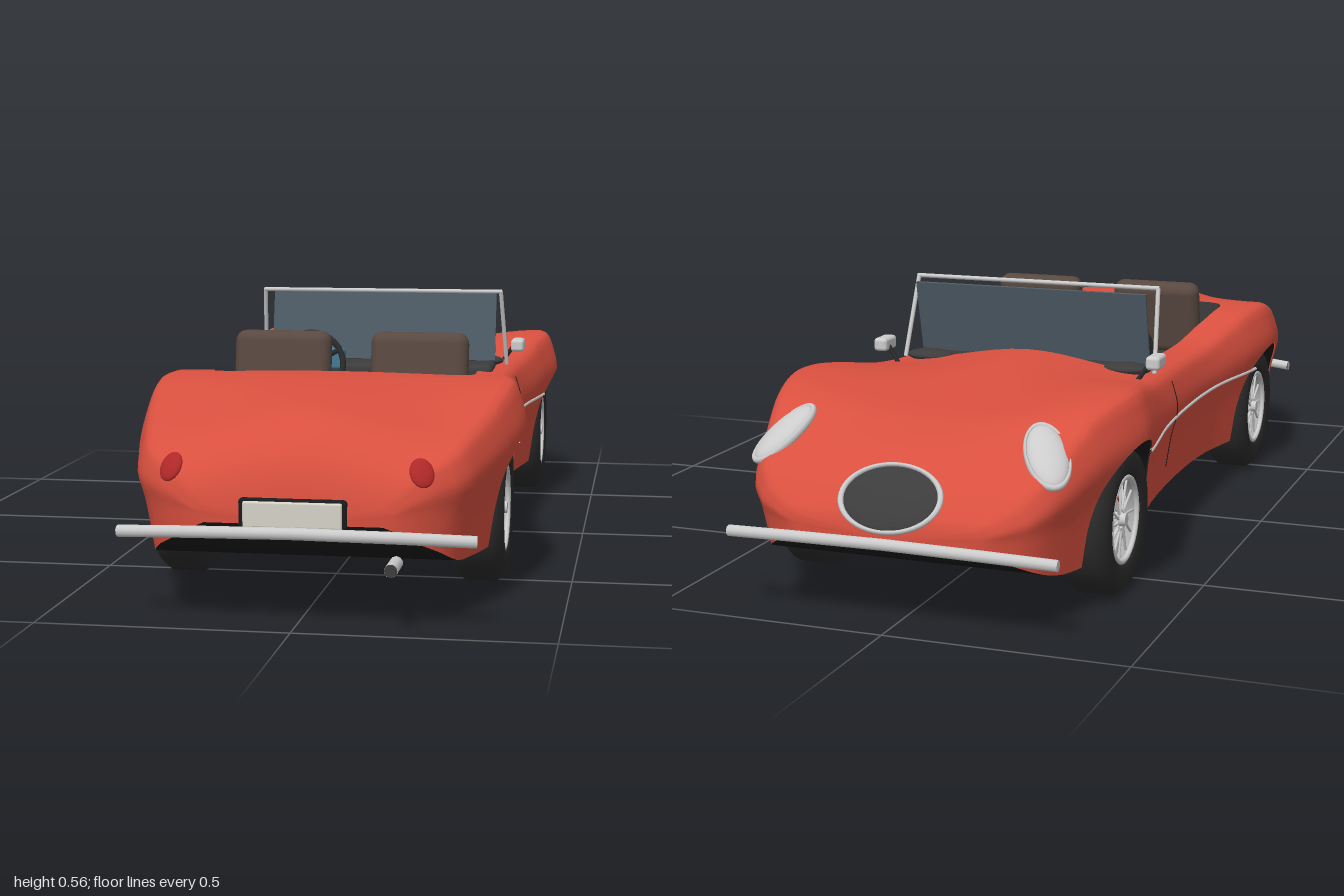
import * as THREE from 'three';
import { RoundedBoxGeometry } from 'three/addons/geometries/RoundedBoxGeometry.js';

const V = (x, y, z) => new THREE.Vector3(x, y, z);
const mat = (color, extra = {}) => new THREE.MeshStandardMaterial({ color, ...extra });
const DS = { side: THREE.DoubleSide };
const red = mat(0xd9503f, DS), black = mat(0x1a1a1a, DS), dark = mat(0x3c3c3c, { ...DS, flatShading: true });
const chrome = mat(0xcccccc), rubber = mat(0x2a2a2a), leather = mat(0x584840), glass = mat(0x4f5c66, DS);
const white = mat(0xf2f2f4), lampRed = mat(0xb02828), cream = mat(0xd6d2c8), blue = mat(0x437a94);

// Smooth interpolation through [position, value] pairs
function curve(p) {
  const slope = (i) => {
    const a = p[Math.max(0, i - 1)], b = p[Math.min(p.length - 1, i + 1)];
    return (b[1] - a[1]) / (b[0] - a[0]);
  };
  return (t) => {
    let i = 0;
    while (i < p.length - 2 && t > p[i + 1][0]) i++;
    const h = p[i + 1][0] - p[i][0], s = Math.min(1, Math.max(0, (t - p[i][0]) / h));
    const s2 = s * s, s3 = s2 * s;
    return (2 * s3 - 3 * s2 + 1) * p[i][1] + (s3 - 2 * s2 + s) * h * slope(i)
      + (3 * s2 - 2 * s3) * p[i + 1][1] + (s3 - s2) * h * slope(i + 1);
  };
}

// Surface through rows of points
function grid(rows, skip = () => false) {
  const n = rows[0].length, idx = [];
  for (let i = 0; i < rows.length - 1; i++) for (let j = 0; j < n - 1; j++) {
    if (skip(i, j)) continue;
    const a = i * n + j, c = a + n;
    idx.push(a, c, a + 1, a + 1, c, c + 1);
  }
  const g = new THREE.BufferGeometry().setFromPoints(rows.flat());
  g.setIndex(idx);
  g.computeVertexNormals();
  return g;
}

// Body shape along z (nose at -z): half width, wing height, centre height, floor height
const width = curve([[-0.975, 0.2], [-0.955, 0.26], [-0.92, 0.305], [-0.8, 0.35], [-0.6, 0.4], [-0.45, 0.38], [-0.25, 0.347],
  [0, 0.335], [0.2, 0.345], [0.38, 0.385], [0.5, 0.4], [0.65, 0.38], [0.8, 0.345], [0.9, 0.312], [0.95, 0.255], [0.97, 0.19]]);
const wing = curve([[-0.975, 0.215], [-0.95, 0.255], [-0.91, 0.3], [-0.84, 0.343], [-0.74, 0.398], [-0.6, 0.42], [-0.48, 0.41],
  [-0.33, 0.382], [-0.2, 0.372], [0, 0.367], [0.18, 0.37], [0.3, 0.398], [0.4, 0.42], [0.5, 0.424], [0.6, 0.408],
  [0.75, 0.37], [0.88, 0.335], [0.95, 0.292], [0.97, 0.235]]);
const centre = curve([[-0.975, 0.215], [-0.95, 0.255], [-0.88, 0.318], [-0.75, 0.36], [-0.6, 0.38], [-0.4, 0.4], [-0.2, 0.41],
  [0.1, 0.41], [0.46, 0.43], [0.6, 0.43], [0.75, 0.415], [0.88, 0.385], [0.95, 0.318], [0.97, 0.24]]);
const floor = curve([[-0.975, 0.18], [-0.95, 0.15], [-0.88, 0.115], [-0.8, 0.1], [0, 0.1], [0.83, 0.113], [0.94, 0.16], [0.97, 0.2]]);
const flank = curve([[0, 0.9], [0.45, 0.955], [0.7, 1], [0.9, 0.965], [0.98, 0.93], [1, 0.89]]);
const rim = curve([[-0.2, 0.272], [-0.1, 0.262], [0.1, 0.25], [0.3, 0.27], [0.42, 0.282], [0.45, 0.272], [0.46, 0.25]]);
const Z0 = -0.2, Z1 = 0.46, AXLES = [-0.6, 0.5], R = 0.155, ARCH = 0.166, CREST = 0.89;
const edge = (z) => Math.min(rim(z), 0.72 * width(z));
const topY = (z, x) => {
  const s = THREE.MathUtils.smoothstep(Math.abs(x) / (CREST * width(z)), 0, 1);
  return THREE.MathUtils.lerp(centre(z), wing(z), s);
};
const sideX = (z, y) => width(z) * flank((y - floor(z)) / (wing(z) - floor(z)));
const hem = (z) => {
  const a = AXLES.find((c) => Math.abs(z - c) <= ARCH);
  return a === undefined ? floor(z) : R + Math.sqrt(ARCH ** 2 - (z - a) ** 2);
};

// One cross-section from right hem over the top to left hem
function section(z) {
  const half = [], e = edge(z), cx = CREST * width(z), f = wing(z), b = hem(z);
  for (let j = 1; j <= 6; j++) half.push([e * j / 6, topY(z, e * j / 6)]);
  for (let j = 1; j <= 3; j++) { const x = e + (cx - e) * j / 3; half.push([x, topY(z, x)]); }
  for (let j = 1; j <= 16; j++) { const y = f + (b - f) * (j / 16) ** 1.7; half.push([sideX(z, y), y]); }
  return [...half.slice().reverse().map(([x, y]) => V(-x, y, z)), V(0, centre(z), z), ...half.map(([x, y]) => V(x, y, z))];
}

export function createModel() {
  const car = new THREE.Group();
  car.name = 'roadster';
  const add = (name, geo, m, p = [0, 0, 0], parent = car) => {
    const mesh = new THREE.Mesh(geo, m);
    mesh.name = name;
    mesh.position.set(...p);
    parent.add(mesh);
    return mesh;
  };
  const tube = (name, pts, r, m, n, tension = 0.5) =>
    add(name, new THREE.TubeGeometry(new THREE.CatmullRomCurve3(pts, false, 'catmullrom', tension), n, r, 10), m);
  const bar = (name, a, b, r, m = chrome, parent = car) => {
    const d = b.clone().sub(a);
    const mesh = add(name, new THREE.CylinderGeometry(r, r, d.length(), 10), m, a.clone().add(b).multiplyScalar(0.5).toArray(), parent);
    mesh.quaternion.setFromUnitVectors(V(0, 1, 0), d.normalize());
    return mesh;
  };

  // Body shell with wheel arches and an open cockpit
  const set = new Set([Z0, Z1, 0.452, -0.965, -0.975, 0.96, 0.97]);
  for (let k = 1; k < 65; k++) set.add(-0.975 + k * 0.03);
  for (const a of AXLES) {
    for (let k = 0; k <= 24; k++) set.add(a + ARCH * 0.99999 * Math.cos(Math.PI * k / 24));
    set.add(a - ARCH - 0.0005).add(a + ARCH + 0.0005);
  }
  const zs = [...set].sort((a, b) => a - b);
  const rows = zs.map(section), n = rows[0].length, mid = (n - 1) / 2;
  const cap = (z) => Array.from({ length: n }, () => V(0, floor(z), z));
  add('bodyShell', grid([cap(-0.975), ...rows, cap(0.97)], (i, j) =>
    i > 0 && i <= zs.length && zs[i - 1] >= Z0 && zs[i - 1] < Z1 && j >= mid - 6 && j < mid + 6), red);

  // Underside, narrowed between the wheels
  add('underside', grid(zs.map((z) => {
    const h = hem(z) > floor(z) + 0.001 ? 0.245 : 0.9 * width(z);
    return [V(h, floor(z), z), V(0, floor(z), z), V(-h, floor(z), z)];
  })), black);

  // Cockpit tub
  const cz = zs.filter((z) => z >= Z0 && z <= Z1);
  const tubRow = (z, high) => {
    const e = edge(z), r = [V(-e, topY(z, e), z)];
    for (let j = -6; j <= 6; j++) r.push(V(e * j / 6, high ? topY(z, e * j / 6) : 0.326, z));
    return [...r, V(e, topY(z, e), z)];
  };
  add('cockpitTub', grid([tubRow(Z0, true), ...cz.map((z) => tubRow(z)), tubRow(Z1, true)]), dark);

  // Dashboard, instruments and steering wheel
  add('dashboard', new RoundedBoxGeometry(0.55, 0.05, 0.15, 3, 0.015), dark, [0, 0.36, -0.15]);
  for (const s of [-1, 1]) add('dashEnd', new THREE.SphereGeometry(1, 20, 10).scale(0.055, 0.014, 0.035), dark, [s * 0.237, 0.383, -0.205]);
  add('instrumentPanel', new RoundedBoxGeometry(0.16, 0.05, 0.035, 2, 0.008), blue, [-0.16, 0.395, -0.08]);
  const steering = new THREE.Group();
  steering.name = 'steeringWheel';
  steering.position.set(-0.155, 0.385, -0.008);
  steering.rotation.x = -0.35;
  car.add(steering);
  add('steeringRim', new THREE.TorusGeometry(0.082, 0.007, 8, 32), rubber, [0, 0, 0], steering);
  for (let k = 0; k < 3; k++) {
    const a = Math.PI * (1 / 6 + k * 2 / 3);
    bar('steeringSpoke', V(0, 0, 0), V(0.082 * Math.cos(a), 0.082 * Math.sin(a), 0), 0.006, rubber, steering);
  }
  bar('steeringColumn', V(0, 0, 0), V(0, -0.01, -0.09), 0.01, rubber, steering);

  // Seat backs
  for (const s of [-1, 1])
    add('seat', new RoundedBoxGeometry(0.215, 0.18, 0.055, 4, 0.025), leather, [s * 0.152, 0.41, 0.31]).rotation.x = -0.17;

  // Windscreen glass and frame
  add('windscreen', new THREE.BoxGeometry(0.55, 0.165, 0.006), glass, [0, 0.468, -0.175]).rotation.x = -0.22;
  for (const s of [-1, 1]) bar('screenPillar', V(s * 0.3, 0.375, -0.205), V(s * 0.289, 0.556, -0.146), 0.005);
  bar('screenTopRail', V(-0.292, 0.556, -0.146), V(0.292, 0.556, -0.146), 0.005);

  // Wing mirrors, side trim and door gaps
  for (const s of [-1, 1]) {
    add('mirror', new RoundedBoxGeometry(0.032, 0.03, 0.06, 3, 0.008), chrome, [s * 0.322, 0.416, -0.268]);
    bar('mirrorStalk', V(s * 0.31, 0.412, -0.275), V(s * 0.285, 0.375, -0.28), 0.005, rubber);
    const along = (pts) => pts.map(([z, y]) => V(s * sideX(z, y), y, z));
    tube('sideTrim', along([...Array(15)].map((_, k) => [0.41 - k * 0.063, 0.273 - k * 0.0004])), 0.004, chrome, 50);
    tube('doorGap', along([...Array(10)].map((_, k) => [-0.155, 0.35 - k * 0.022])), 0.0016, black, 24);
  }

  // Headlights and tail lights lying on the sloping wings
  for (const s of [-1, 1]) {
    const lamp = new THREE.Group();
    lamp.name = 'headlight';
    lamp.position.set(s * 0.28, 0.338, -0.84);
    lamp.lookAt(s * (0.28 + 0.3), 0.338 + 0.8, -0.84 - 0.48);
    car.add(lamp);
    add('headlightLens', new THREE.SphereGeometry(1, 28, 16).scale(0.041, 0.078, 0.02), white, [0, 0, 0], lamp);
    add('headlightRing', new THREE.TorusGeometry(1, 0.08, 8, 36).scale(0.042, 0.079, 0.09), chrome, [0, 0, 0], lamp);
    let z = 0.85;
    while (z < 0.965 && sideX(z, 0.3) > 0.245 && topY(z, 0.24) > 0.302) z += 0.002;
    add('tailLight', new THREE.SphereGeometry(1, 24, 12).scale(0.024, 0.03, 0.009), lampRed, [s * 0.24, 0.3, z])
      .lookAt(s * (0.24 + 0.35), 0.3 + 0.5, z + 0.75);
  }

  // Oval grille on the nose
  const grille = new THREE.Group();
  grille.name = 'grille';
  grille.position.set(0, 0.256, -0.946);
  grille.lookAt(0, 0.256 + 0.62, -0.946 - 0.78);
  car.add(grille);
  add('grilleMouth', new THREE.SphereGeometry(1, 32, 12).scale(0.1, 0.068, 0.012), dark, [0, 0, 0], grille);
  add('grilleRing', new THREE.TorusGeometry(1, 0.06, 8, 48).scale(0.103, 0.071, 0.1), chrome, [0, 0, 0.002], grille);

  // Bumpers with bent ends, number plate and exhaust
  for (const [name, y, z, endZ] of [['rearBumper', 0.183, 0.98, 0.95], ['frontBumper', 0.172, -0.98, -0.96]]) {
    tube(name, [V(-0.344, y - 0.009, endZ), V(-0.2, y, z), V(0, y + 0.002, z), V(0.2, y, z), V(0.344, y - 0.009, endZ)], 0.012, chrome, 48, 0);
    for (const s of [-1, 1]) {
      add('bumperEnd', new THREE.CircleGeometry(0.012, 12).rotateY(s * Math.PI / 2), chrome, [s * 0.344, y - 0.009, endZ]);
      bar('bumperBracket', V(s * 0.15, y, z), V(s * 0.15, y, z * 0.95), 0.008, black);
    }
  }
  add('plateHolder', new RoundedBoxGeometry(0.21, 0.062, 0.03, 3, 0.01), black, [0, 0.219, 0.96]);
  add('numberPlate', new RoundedBoxGeometry(0.19, 0.05, 0.01, 2, 0.004), cream, [0, 0.219, 0.975]);
  bar('exhaustPipe', V(0.19, 0.125, 0.928), V(0.19, 0.125, 1), 0.013);
  add('exhaustBore', new THREE.CircleGeometry(0.0125, 16), dark, [0.19, 0.125, 1.0005]);

  // Wheels and wheel wells
  const tyre = new THREE.LatheGeometry([[0.088, -0.045], [0.1, -0.052], [0.138, -0.0525], [0.155, -0.032], [0.155, -0.012],
    [0.152, -0.01], [0.155, -0.008], [0.155, 0.008], [0.152, 0.01], [0.155, 0.012], [0.155, 0.032], [0.138, 0.0525],
    [0.1, 0.052], [0.088, 0.045], [0.088, -0.045]].map(([r, y]) => new THREE.Vector2(r, y)), 48).rotateZ(-Math.PI / 2);
  for (const a of AXLES) for (const s of [-1, 1]) {
    const wheel = new THREE.Group();
    wheel.name = 'wheel';
    wheel.position.set(s * 0.313, R, a);
    wheel.rotation.y = s > 0 ? 0 : Math.PI;
    car.add(wheel);
    add('tyre', tyre, rubber, [0, 0, 0], wheel);
    add('rim', new THREE.TorusGeometry(0.087, 0.006, 8, 40).rotateY(Math.PI / 2), chrome, [0.044, 0, 0], wheel);
    add('rimBarrel', new THREE.CylinderGeometry(0.087, 0.087, 0.09, 40, 1, true).rotateZ(Math.PI / 2), mat(0xaaaaaa, DS), [0, 0, 0], wheel);
    add('brakeDrum', new THREE.CylinderGeometry(0.08, 0.08, 0.02, 32).rotateZ(Math.PI / 2), mat(0x888888), [-0.025, 0, 0], wheel);
    add('brakeCaliper', new THREE.BoxGeometry(0.025, 0.04, 0.03), lampRed, [0.01, 0.04, s * 0.045], wheel).rotation.x = s * 0.8;
    add('hub', new THREE.CylinderGeometry(0.012, 0.022, 0.06, 20).rotateZ(-Math.PI / 2), chrome, [0.02, 0, 0], wheel);
    for (let k = 0; k < 24; k++) {
      const t = k * Math.PI / 12, u = t + (k % 2 ? 0.3 : -0.3);
      bar('spoke', V(0.038, 0.018 * Math.sin(t), 0.018 * Math.cos(t)), V(k % 2 ? 0.035 : 0.02, 0.086 * Math.sin(u), 0.086 * Math.cos(u)), 0.0026, chrome, wheel);
    }
    const strip = (z, y) => [V(s * 0.245, y, z), V(s * (sideX(z, y) - 0.003), y, z)];
    const liner = [...Array(25)].map((_, k) => {
      const z = a + ARCH * 0.9999 * Math.cos(Math.PI * k / 24);
      return strip(z, hem(z));
    });
    const foot = (d) => strip(a + d * ARCH, floor(a + d * ARCH));
    add('wheelWell', grid([foot(1), ...liner, foot(-1)]), black);
    add('wheelWellWall', new THREE.CircleGeometry(ARCH, 32, -0.3, Math.PI + 0.6).rotateY(Math.PI / 2), black, [s * 0.245, R, a]);
  }
  return car;
}
